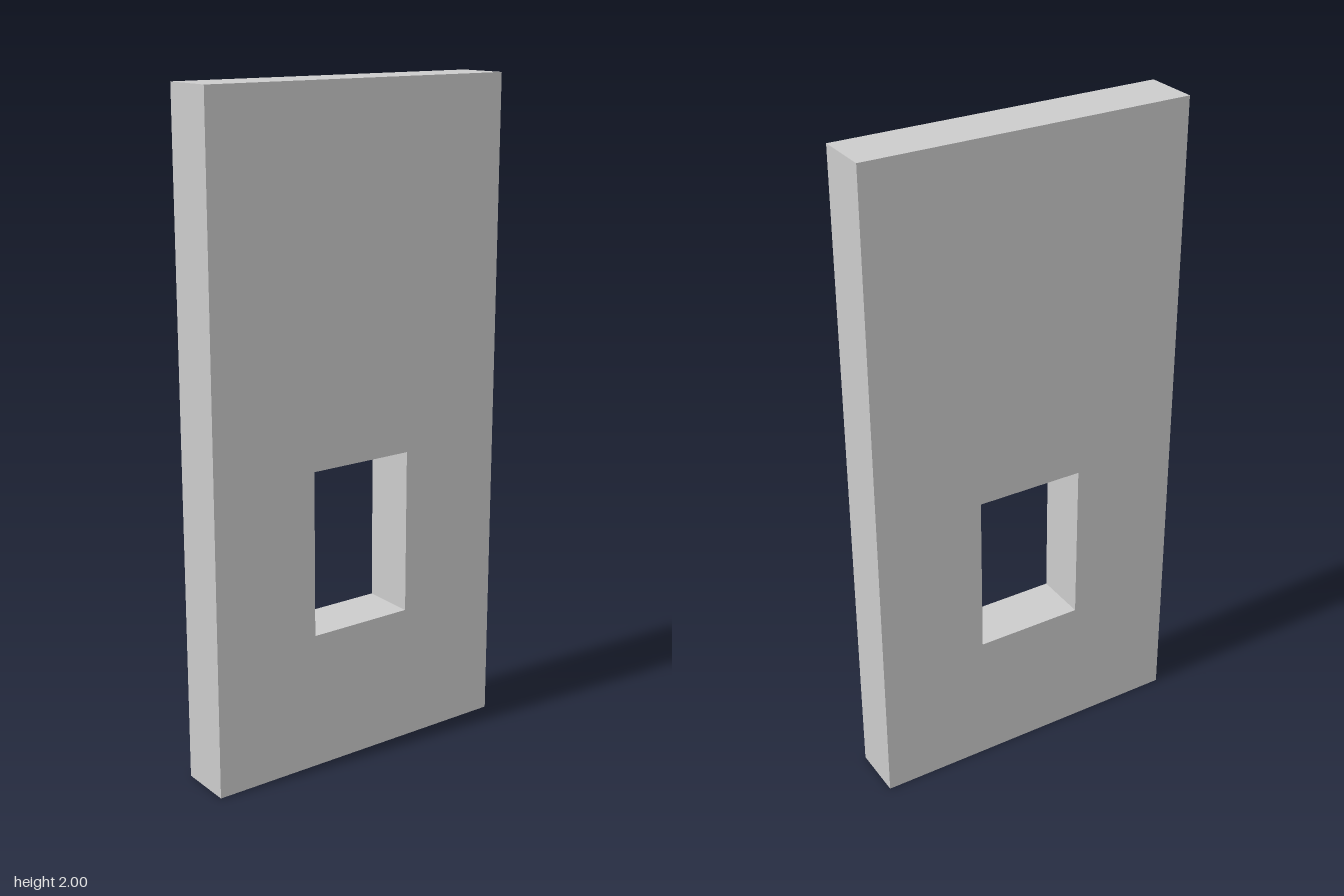
import * as THREE from 'three';

const WIDTH = 1, HEIGHT = 2, DEPTH = 1 / 6;
const OPENING = { width: 1 / 3, bottom: 0.417, top: 0.917 };

// Corners of a rectangle centred on x = 0
function rectangle(width, bottom, top) {
  const h = width / 2;
  return [[-h, bottom], [h, bottom], [h, top], [-h, top]].map(([x, y]) => new THREE.Vector2(x, y));
}

export function createModel() {
  const group = new THREE.Group();
  group.name = 'wallWithWindow';

  // Wall panel with a rectangular window opening cut right through
  const outline = new THREE.Shape(rectangle(WIDTH, 0, HEIGHT));
  outline.holes.push(new THREE.Path(rectangle(OPENING.width, OPENING.bottom, OPENING.top).reverse()));
  const geometry = new THREE.ExtrudeGeometry(outline, { depth: DEPTH, bevelEnabled: false });
  geometry.translate(0, 0, -DEPTH / 2);

  const wall = new THREE.Mesh(geometry, new THREE.MeshStandardMaterial({ color: 0xcccccc }));
  wall.name = 'wallPanel';
  group.add(wall);
  return group;
}
